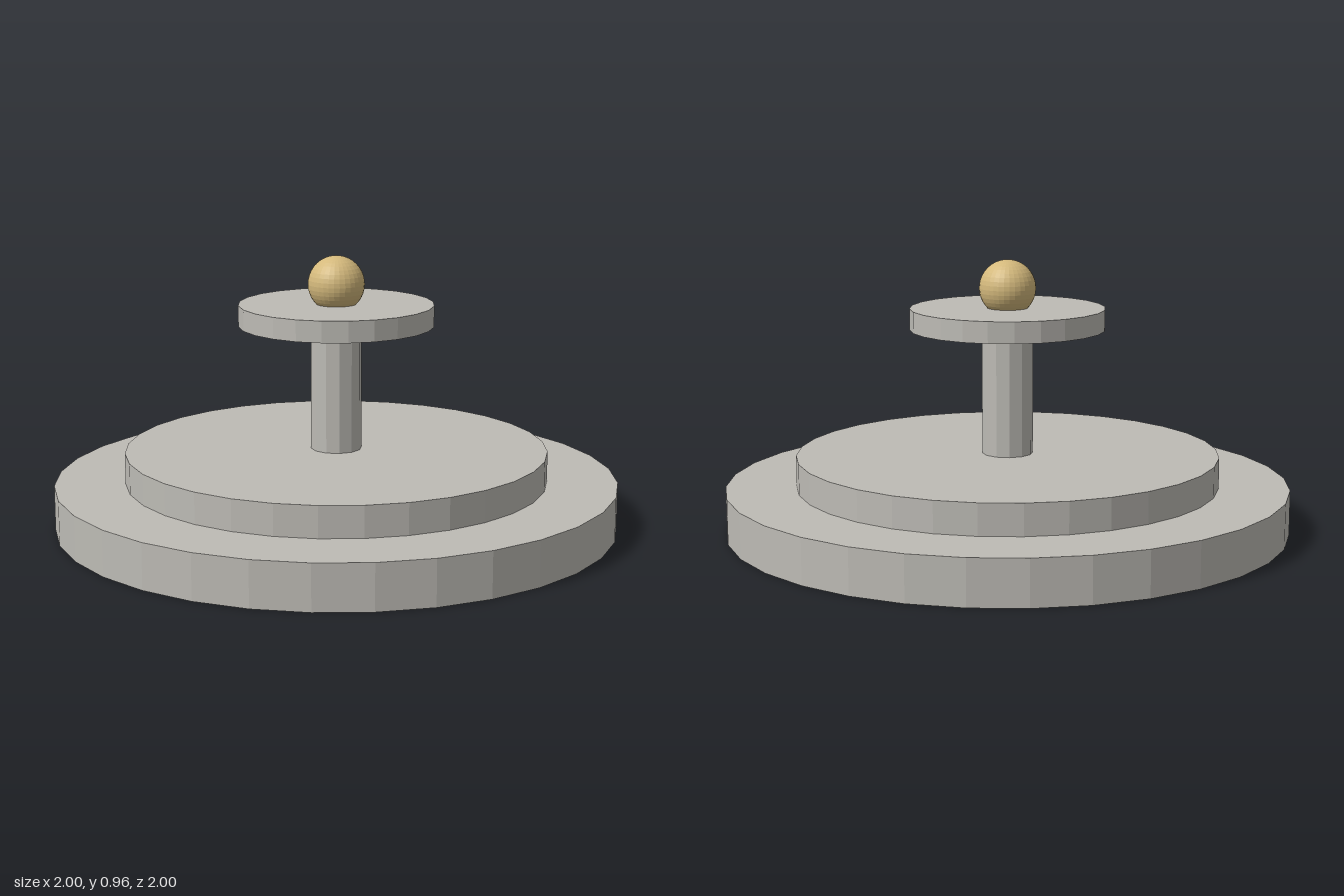
import * as THREE from 'three';

export function createModel() {
  const model = new THREE.Group();
  const stone = new THREE.MeshStandardMaterial({ color: 0xbdbbb5, flatShading: true });
  stone.name = 'pale stone';
  const gold = new THREE.MeshStandardMaterial({ color: 0xd4b97c, flatShading: true });
  gold.name = 'soft gold';

  // Stacked discs and column: name, radius, bottom, top, sides
  const tiers = [
    ['lowerBase', 1, 0, 0.16, 32],
    ['upperBase', 0.75, 0.16, 0.27, 32],
    ['column', 0.09, 0.27, 0.715, 12],
    ['topPlate', 0.345, 0.715, 0.79, 24],
  ];
  for (const [name, radius, bottom, top, sides] of tiers) {
    const mesh = new THREE.Mesh(new THREE.CylinderGeometry(radius, radius, top - bottom, sides), stone);
    mesh.name = name;
    mesh.position.y = (bottom + top) / 2;
    model.add(mesh);
  }

  // Ball finial, slightly sunk into the plate
  const ball = new THREE.Mesh(new THREE.SphereGeometry(0.1, 32, 20), gold);
  ball.name = 'ballFinial';
  ball.position.y = 0.86;
  model.add(ball);

  return model;
}
